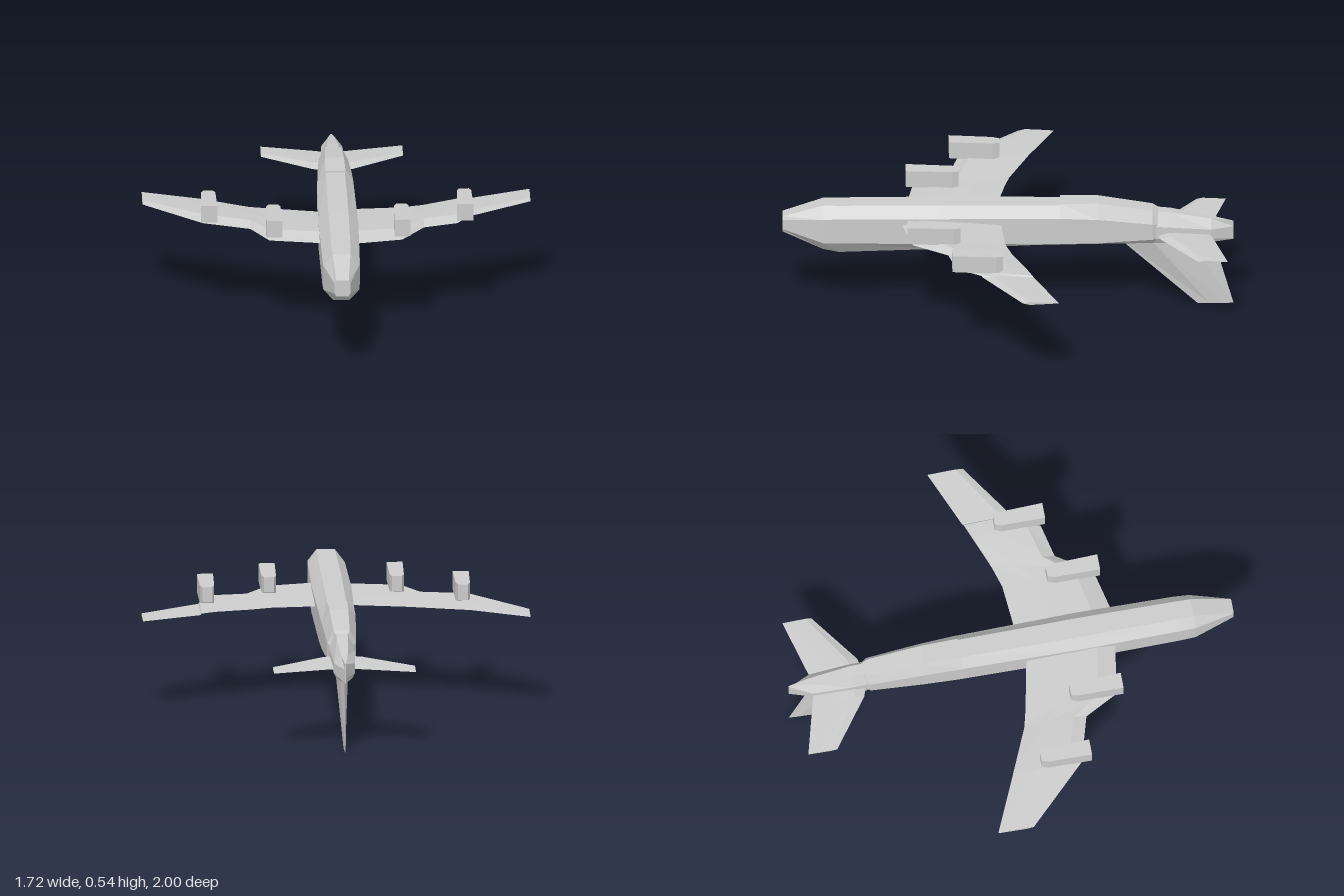
import * as THREE from 'three';

const material = new THREE.MeshStandardMaterial({ color: 0xcccccc, flatShading: true });

// Closed loft through rings of equal point count; winding is fixed by signed volume.
function loft(name, rings) {
  const tris = [];
  const n = rings[0].length;
  for (let i = 0; i < rings.length - 1; i++) {
    for (let j = 0; j < n; j++) {
      const k = (j + 1) % n;
      const a = rings[i][j], b = rings[i][k], c = rings[i + 1][k], d = rings[i + 1][j];
      tris.push([a, b, c], [a, c, d]);
    }
  }
  const first = rings[0], last = rings[rings.length - 1];
  for (let j = 1; j < n - 1; j++) {
    tris.push([first[0], first[j + 1], first[j]], [last[0], last[j], last[j + 1]]);
  }
  const o = new THREE.Vector3(...first[0]);
  const rel = (p) => new THREE.Vector3(...p).sub(o);
  let volume = 0;
  for (const [a, b, c] of tris) volume += rel(a).dot(rel(b).cross(rel(c)));
  if (volume < 0) tris.forEach((t) => t.reverse());
  const geometry = new THREE.BufferGeometry();
  geometry.setAttribute('position', new THREE.Float32BufferAttribute(tris.flat(2), 3));
  geometry.computeVertexNormals();
  const mesh = new THREE.Mesh(geometry, material);
  mesh.name = name;
  return mesh;
}

// Eight-sided body section: half widths at top, side and bottom, and four heights.
function bodyRing([z, wTop, wSide, wBottom, top, upper, lower, bottom]) {
  return [
    [wTop, top, z], [wSide, upper, z], [wSide, lower, z], [wBottom, bottom, z],
    [-wBottom, bottom, z], [-wSide, lower, z], [-wSide, upper, z], [-wTop, top, z],
  ];
}

// Six-sided aerofoil section at x, from leading edge to trailing edge.
function wingRing(side, [x, lead, trail, low, high]) {
  const mid = (low + high) / 2;
  const at = (t) => lead + (trail - lead) * t;
  return [
    [side * x, mid, lead], [side * x, high, at(0.2)], [side * x, mid + (high - mid) * 0.5, at(0.65)],
    [side * x, mid, trail], [side * x, mid - (mid - low) * 0.5, at(0.65)], [side * x, low, at(0.2)],
  ];
}

export function createModel() {
  const model = new THREE.Group();
  model.name = 'airplane';

  // Fuselage in three sections
  model.add(loft('frontFuselage', [
    [1.0, 0.028, 0.035, 0.028, 0.455, 0.44, 0.395, 0.38],
    [0.82, 0.04, 0.08, 0.035, 0.512, 0.46, 0.345, 0.295],
    [0.75, 0.042, 0.083, 0.035, 0.512, 0.465, 0.345, 0.28],
    [0.3, 0.045, 0.088, 0.036, 0.512, 0.465, 0.343, 0.293],
    [-0.23, 0.042, 0.08, 0.034, 0.508, 0.46, 0.333, 0.312],
  ].map(bodyRing)));
  model.add(loft('rearFuselage', [
    [-0.23, 0.045, 0.081, 0.045, 0.515, 0.46, 0.335, 0.315],
    [-0.4, 0.042, 0.075, 0.04, 0.515, 0.45, 0.335, 0.315],
    [-0.64, 0.036, 0.064, 0.035, 0.477, 0.42, 0.345, 0.315],
    [-0.665, 0.028, 0.05, 0.028, 0.465, 0.41, 0.35, 0.32],
  ].map(bodyRing)));
  model.add(loft('tailCone', [
    [-0.65, 0.025, 0.055, 0.04, 0.467, 0.405, 0.345, 0.318],
    [-0.72, 0.025, 0.055, 0.04, 0.46, 0.4, 0.345, 0.318],
    [-0.9, 0.015, 0.046, 0.035, 0.425, 0.385, 0.34, 0.318],
    [-1.0, 0.002, 0.003, 0.003, 0.405, 0.38, 0.34, 0.318],
  ].map(bodyRing)));

  // Wings: x, leading z, trailing z, low y, high y
  const wings = {
    left: [
      [0.04, 0.48, 0.035, 0.405, 0.46],
      [0.28, 0.425, 0.015, 0.407, 0.457],
      [0.38, 0.27, -0.015, 0.41, 0.452],
      [0.53, 0.235, -0.075, 0.418, 0.456],
      [0.595, 0.125, -0.1, 0.42, 0.45],
      [0.6, 0.12, -0.105, 0.421, 0.438],
      [0.86, -0.055, -0.215, 0.422, 0.436],
    ],
    right: [
      [0.04, 0.465, 0.065, 0.405, 0.456],
      [0.31, 0.42, 0.01, 0.407, 0.456],
      [0.39, 0.27, -0.01, 0.41, 0.452],
      [0.6, 0.21, -0.1, 0.418, 0.458],
      [0.86, -0.055, -0.215, 0.422, 0.438],
    ],
  };

  // Tailplane stations, shared by both sides
  const tailplane = [
    [0.02, -0.655, -0.89, 0.342, 0.376],
    [0.09, -0.675, -0.91, 0.345, 0.374],
    [0.315, -0.84, -0.97, 0.353, 0.364],
  ];

  // Engine pods: x centre, front z, rear z
  const engines = {
    left: [[0.28, 0.45, 0.215], [0.563, 0.255, 0.03]],
    right: [[0.288, 0.45, 0.215], [0.572, 0.255, 0.03]],
  };

  for (const [label, side] of [['left', 1], ['right', -1]]) {
    model.add(loft(label + 'Wing', wings[label].map((s) => wingRing(side, s))));
    model.add(loft(label + 'Tailplane', tailplane.map((s) => wingRing(side, s))));
    engines[label].forEach(([x, front, rear], i) => {
      const box = (z, w, low, high) => [[-w, low], [w, low], [w, high], [-w, high]]
        .map(([dx, y]) => [side * x + dx, y, z]);
      model.add(loft(label + (i ? 'OuterEngine' : 'InnerEngine'), [
        box(front, 0.036, 0.457, 0.535),
        box(rear + 0.03, 0.032, 0.445, 0.527),
        box(rear, 0.022, 0.455, 0.525),
      ]));
    });
  }

  // Vertical fin: y, front z, rear z, half thickness
  model.add(loft('fin', [
    [0.34, -0.475, -0.905, 0.032],
    [0.315, -0.5, -0.91, 0.03],
    [0, -0.84, -1.0, 0.004],
  ].map(([y, front, rear, w]) => {
    const at = (t) => front + (rear - front) * t;
    return [
      [0, y, front], [w, y, at(0.35)], [w * 0.6, y, at(0.75)],
      [0, y, rear], [-w * 0.6, y, at(0.75)], [-w, y, at(0.35)],
    ];
  })));

  return model;
}
